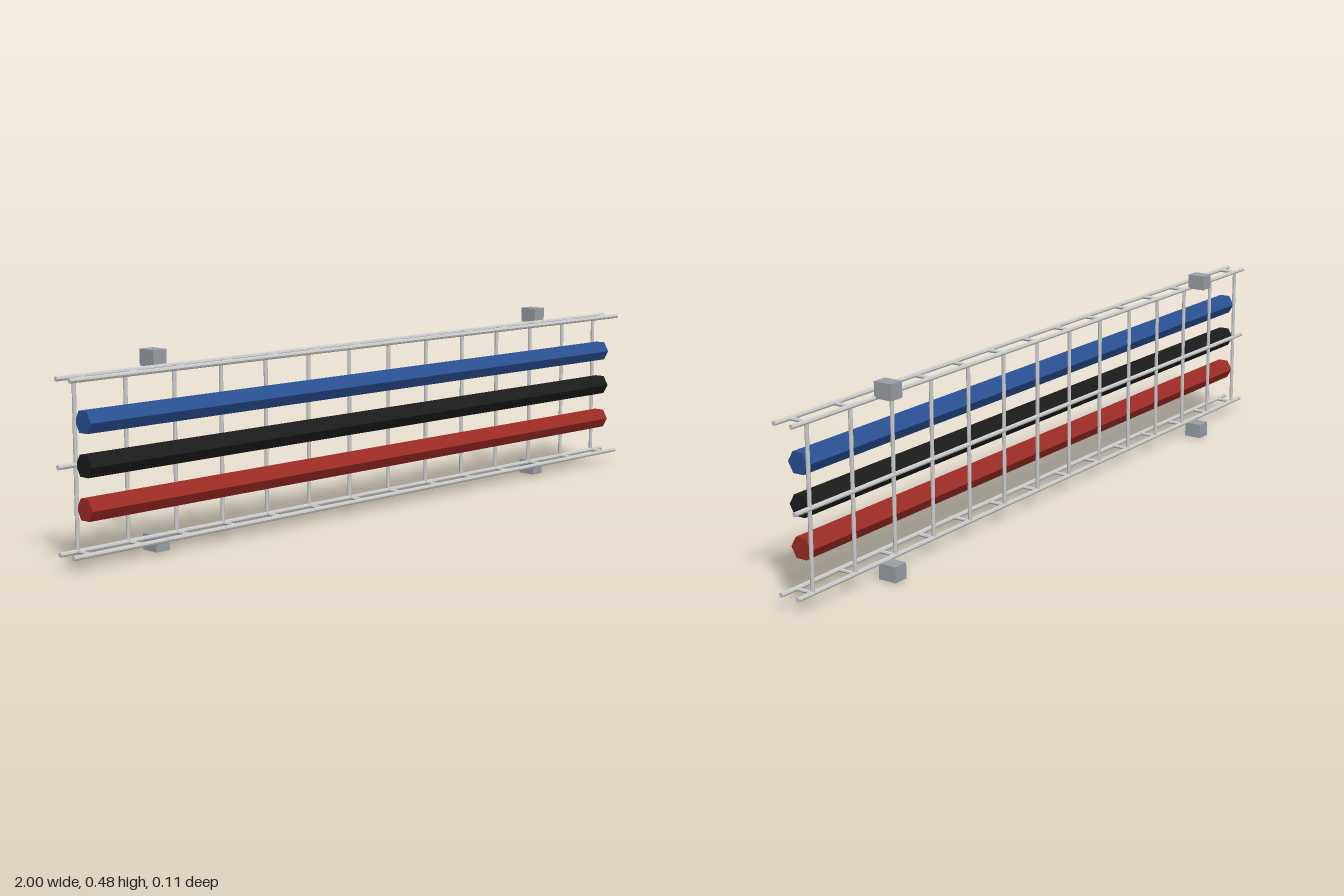
import * as THREE from 'three';

const mat = (color) => new THREE.MeshStandardMaterial({ color, flatShading: true });

export function createModel() {
  const group = new THREE.Group();
  const wire = mat(0xcccccc);
  const steel = mat(0x9aa0a6);
  const backZ = -0.004, frontZ = 0.046, bottomY = 0.04, topY = 0.44;
  const midY = (bottomY + topY) / 2;

  // Straight bar of given length along one axis
  function bar(name, axis, radius, length, sides, material, x, y, z) {
    const geo = new THREE.CylinderGeometry(radius, radius, length, sides);
    if (axis === 'x') geo.rotateZ(Math.PI / 2);
    if (axis === 'z') geo.rotateX(Math.PI / 2);
    const mesh = new THREE.Mesh(geo, material);
    mesh.name = name;
    mesh.position.set(x, y, z);
    group.add(mesh);
  }

  // Long wires of the tray: three along the back, two along the front lips
  for (const [y, z] of [[bottomY, backZ], [midY, backZ], [topY, backZ], [bottomY, frontZ], [topY, frontZ]]) {
    bar('longWire', 'x', 0.006, 2, 8, wire, 0, y, z);
  }

  // Cross wires: one upright and two short lip wires at each station
  const stations = 14;
  for (let i = 0; i < stations; i++) {
    const x = -0.95 + (1.9 * i) / (stations - 1);
    bar('uprightWire', 'y', 0.005, topY - bottomY, 8, wire, x, midY, backZ);
    for (const y of [bottomY, topY]) {
      bar('lipWire', 'z', 0.005, frontZ - backZ, 8, wire, x, y, (frontZ + backZ) / 2);
    }
  }

  // Hexagonal cables
  for (const [name, color, y] of [['redCable', 0xa02c26, 0.14], ['blackCable', 0x1c1c1c, 0.24], ['blueCable', 0x2a5296, 0.34]]) {
    bar(name, 'x', 0.029, 1.9, 6, mat(color), 0, y, 0.026);
  }

  // Mounting blocks behind the top and bottom edges
  for (const x of [-0.7, 0.7]) {
    for (const y of [0.02, 0.46]) {
      const block = new THREE.Mesh(new THREE.BoxGeometry(0.04, 0.04, 0.05), steel);
      block.name = 'mountingBlock';
      block.position.set(x, y, -0.029);
      group.add(block);
    }
  }
  return group;
}
